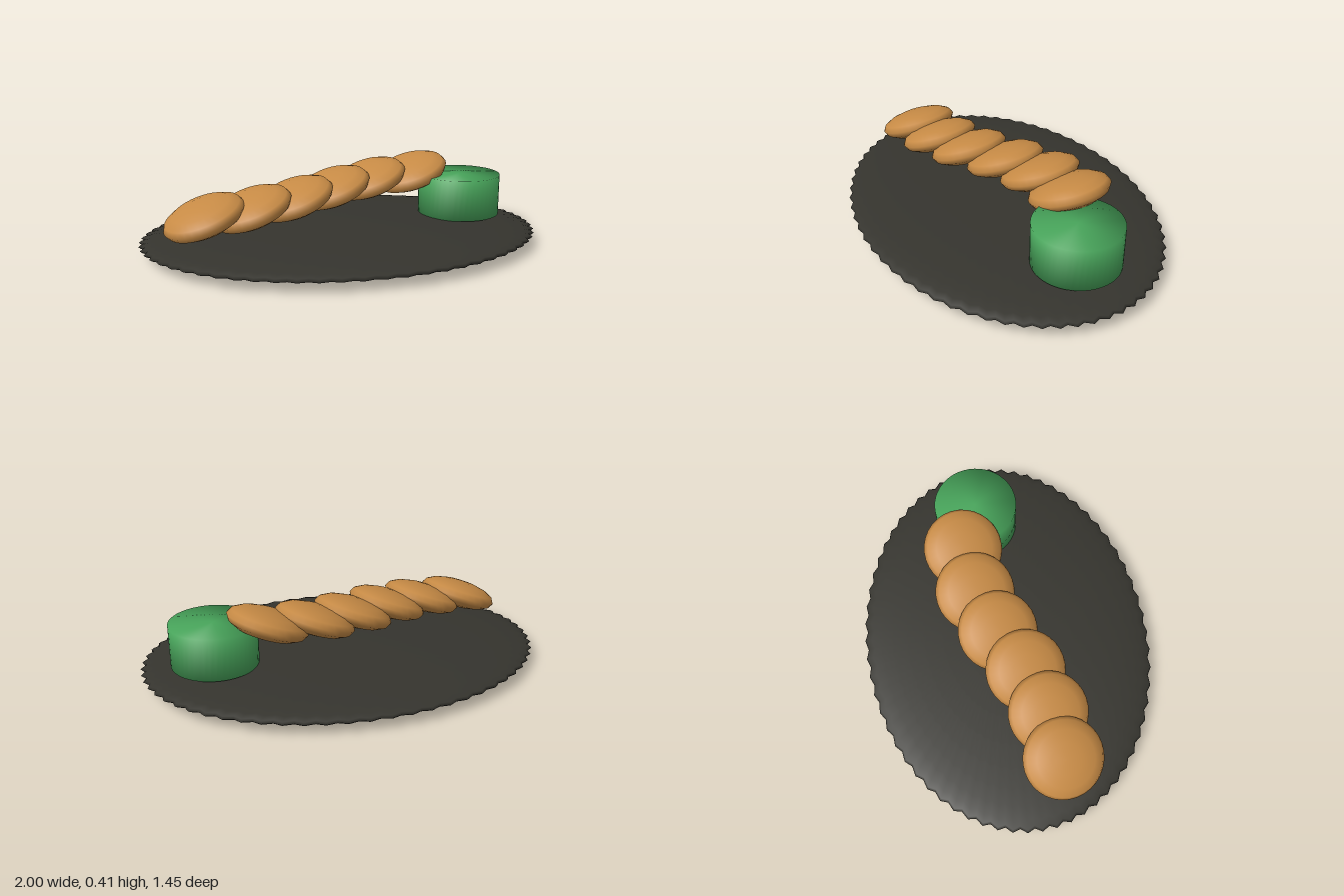
import * as THREE from 'three';
import { mergeVertices } from 'three/addons/utils/BufferGeometryUtils.js';

function material(name, color) {
  const m = new THREE.MeshStandardMaterial({ color });
  m.name = name;
  return m;
}

// Weld all seams so that the normals blend over the edges
function softened(geometry) {
  geometry.deleteAttribute('normal');
  geometry.deleteAttribute('uv');
  const welded = mergeVertices(geometry, 1e-4);
  welded.computeVertexNormals();
  return welded;
}

// Flattened oval with a serrated rim
function plateGeometry() {
  const teeth = 64;
  const g = new THREE.SphereGeometry(1, teeth * 2, 20);
  const p = g.attributes.position;
  for (let i = 0; i < p.count; i++) {
    const angle = Math.atan2(p.getZ(i), p.getX(i));
    const wave = 0.99 + 0.01 * Math.cos(angle * teeth);
    p.setXYZ(i, p.getX(i) * wave, p.getY(i) * 0.058, p.getZ(i) * wave * 0.727);
  }
  return softened(g);
}

export function createModel() {
  const group = new THREE.Group();
  const charcoal = material('charcoal', 0x35342e);
  const golden = material('golden brown', 0xc68a45);
  const green = material('green', 0x48a55b);

  const add = (name, geometry, mat, x, y, z) => {
    const mesh = new THREE.Mesh(geometry, mat);
    mesh.name = name;
    mesh.position.set(x, y, z);
    group.add(mesh);
    return mesh;
  };

  add('plate', plateGeometry(), charcoal, 0, 0.058, 0);

  // Dip cup
  add('cup', softened(new THREE.CylinderGeometry(0.21, 0.21, 0.207, 48)), green, 0.65, 0.209, -0.05);

  // Row of overlapping slices, each leaning on the next
  const sliceGeometry = new THREE.SphereGeometry(1, 32, 8);
  sliceGeometry.scale(0.198, 0.07, 0.198);
  const slices = [[-0.7, 0.15], [-0.475, 0.12], [-0.255, 0.05], [-0.04, -0.05], [0.175, -0.127], [0.41, -0.15]];
  slices.forEach(([x, z], i) => {
    const slice = add('slice' + (i + 1), sliceGeometry, golden, x, 0.225 + 0.018 * i, z);
    slice.rotation.set(0.12, 0, 0.34);
  });

  return group;
}
